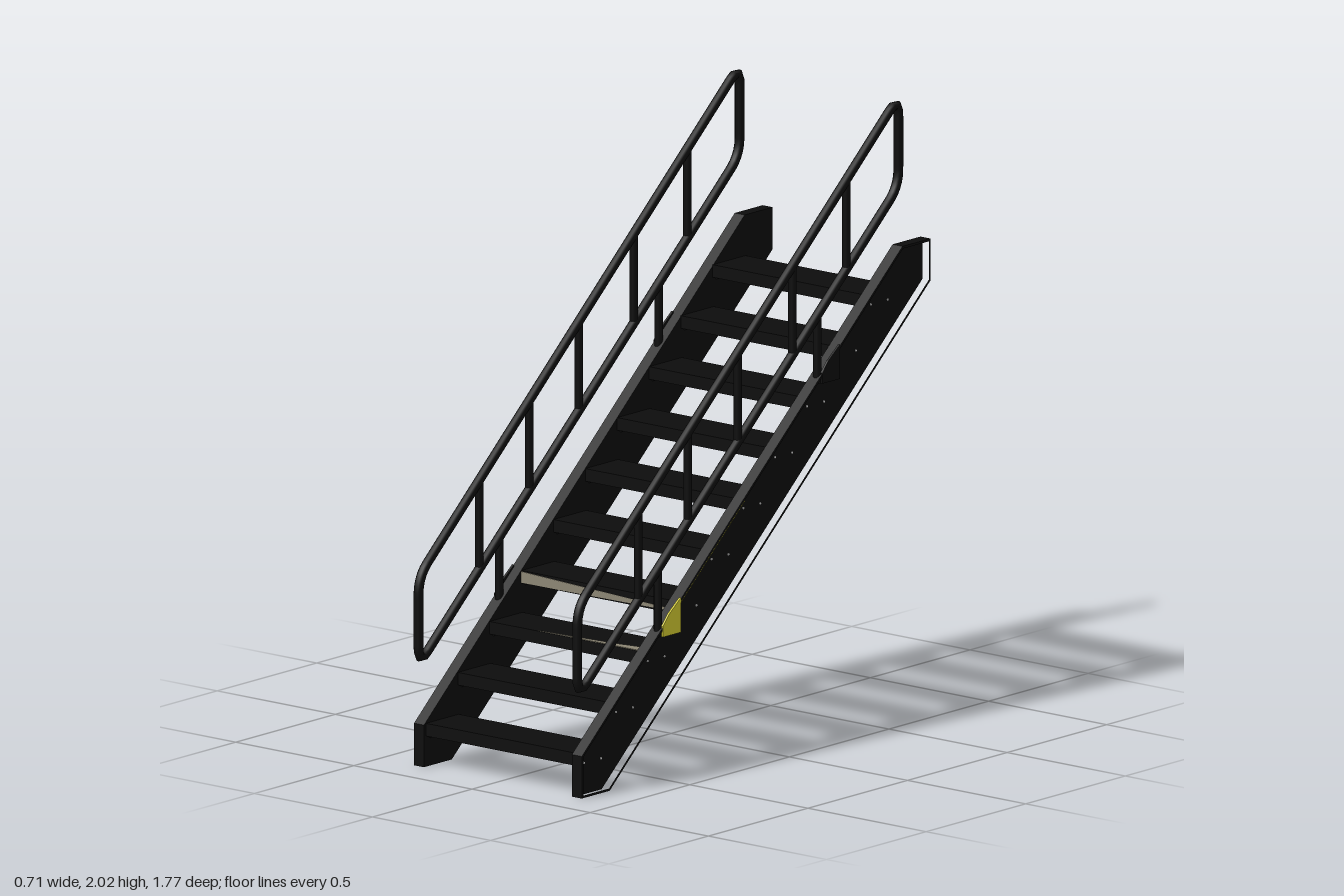
import * as THREE from 'three';

export function createModel() {
  const model = new THREE.Group();
  model.name = 'staircase';
  const material = (name, color, side = THREE.FrontSide) => {
    const m = new THREE.MeshStandardMaterial({ color, side });
    m.name = name;
    return m;
  };
  const black = material('black steel', 0x0d0d0d);
  const yellow = material('yellow paint', 0xd2ca30);
  const beige = material('bare beige', 0x8c8674);
  const bolt = material('pale bolt', 0xd8d8d8);

  const SLOPE = 1.4 / 1.61;
  const topEdge = z => 0.14 + SLOPE * (0.87 - z);
  const bottomEdge = z => SLOPE * (0.73 - z);

  const add = (parent, name, geometry, mat) => {
    const mesh = new THREE.Mesh(geometry, mat);
    mesh.name = name;
    parent.add(mesh);
    return mesh;
  };
  const box = (parent, name, [x0, x1], [y0, y1], [z0, z1], mat = black) =>
    add(parent, name, new THREE.BoxGeometry(x1 - x0, y1 - y0, z1 - z0), mat)
      .position.set((x0 + x1) / 2, (y0 + y1) / 2, (z0 + z1) / 2);

  // Side profile given as [z, y] corners, extruded between two x values on one side
  const toSide = pts => pts.map(([z, y]) => new THREE.Vector2(-z, y));
  const prism = (parent, name, pts, side, x0, x1, mat = black, hole) => {
    const shape = new THREE.Shape(toSide(pts));
    if (hole) shape.holes.push(new THREE.Path(toSide(hole)));
    const g = new THREE.ExtrudeGeometry(shape, { depth: x1 - x0, bevelEnabled: false });
    g.rotateY(Math.PI / 2).translate(side > 0 ? x0 : -x1, 0, 0);
    return add(parent, name, g, mat);
  };
  const strip = (z0, z1, edge, lo, hi) => [
    [z0, edge(z0) + lo], [z0, edge(z0) + hi], [z1, edge(z1) + hi], [z1, edge(z1) + lo]];

  const outline = [[0.87, 0], [0.87, 0.14], [-0.74, 1.54], [-0.88, 1.54], [-0.88, 1.4], [0.73, 0]];
  const inset = [[0.862, 0.008], [0.862, 0.1365], [-0.743, 1.532],
    [-0.872, 1.532], [-0.872, 1.404], [0.733, 0.008]];

  // Closed handrail loop with rounded corners
  const railCurve = x => {
    const c = [[0.87, 0.335], [0.87, 0.63], [-0.742, 2.035], [-0.742, 1.737]]
      .map(([z, y]) => new THREE.Vector3(x, y, z));
    const R = 0.06;
    const toward = (a, b) => a.clone().add(b.clone().sub(a).setLength(R));
    const path = new THREE.CurvePath();
    c.forEach((p, i) => {
      const prev = c[(i + 3) % 4], next = c[(i + 1) % 4];
      path.add(new THREE.QuadraticBezierCurve3(toward(p, prev), p, toward(p, next)));
      path.add(new THREE.LineCurve3(toward(p, next), toward(next, p)));
    });
    return path;
  };
  const lowerRail = z => 0.335 + 0.87 * (0.87 - z);
  const upperRail = z => 0.63 + 0.8716 * (0.87 - z);

  for (const side of [1, -1]) {
    const label = side > 0 ? 'left' : 'right';

    // Channel stringer: web on the inside, flanges facing out
    const stringer = new THREE.Group();
    stringer.name = label + 'Stringer';
    model.add(stringer);
    prism(stringer, 'web', outline, side, 0.313, 0.321);
    prism(stringer, 'flanges', outline, side, 0.321, 0.355, black, inset);

    // Handrail loop, balusters and mounting posts
    const rail = new THREE.Group();
    rail.name = label + 'Handrail';
    model.add(rail);
    const x = 0.336 * side;
    add(rail, 'railLoop', new THREE.TubeGeometry(railCurve(x), 240, 0.016, 12, true), black);
    const post = (name, z, y0, y1) =>
      add(rail, name, new THREE.CylinderGeometry(0.014, 0.014, y1 - y0, 12), black)
        .position.set(x, (y0 + y1) / 2, z);
    for (const z of [0.565, 0.315, 0.065, -0.21, -0.48]) post('baluster', z, lowerRail(z), upperRail(z));
    for (const z of [0.465, -0.335]) {
      post('mountingPost', z, topEdge(z) - 0.03, lowerRail(z));
      // Gusset plate fixing the post to the stringer
      const y = topEdge(z);
      prism(rail, 'mountingPlate',
        [[z, y - 0.03], [z, y + 0.005], [z - 0.03, y + 0.04], [z - 0.09, y + 0.085], [z - 0.09, y - 0.03]],
        side, 0.349, 0.357, side > 0 && z > 0 ? yellow : black);
    }
  }

  // Painted strips on the flange undersides
  prism(model, 'leftPaintStrip', strip(0.42, 0.05, topEdge, -0.015, -0.01), 1, 0.322, 0.354, yellow);
  prism(model, 'rightPaintStrip', strip(0.7, 0.28, bottomEdge, -0.003, 0.001), -1, 0.335, 0.354, yellow);

  // Treads: folded pans with end brackets and bolts
  const boltGeometry = new THREE.CylinderGeometry(0.004, 0.004, 0.02, 8).rotateZ(Math.PI / 2);
  for (let i = 0; i < 10; i++) {
    const tread = new THREE.Group();
    tread.name = 'tread';
    tread.position.set(0, 0.144 + 0.14 * i, 0.86 - 0.16 * i);
    model.add(tread);
    const w = [-0.314, 0.314];
    box(tread, 'treadPlate', w, [-0.008, 0], [-0.165, 0]);
    box(tread, 'frontLip', w, [-0.042, 0], [-0.008, 0]);
    box(tread, 'rearLip', w, [-0.042, 0], [-0.165, -0.157]);
    for (const side of [1, -1]) {
      box(tread, 'endBracket', side > 0 ? [0.306, 0.314] : [-0.314, -0.306], [-0.05, 0], [-0.15, -0.015]);
      for (const z of [-0.04, -0.125])
        add(tread, 'bolt', boltGeometry, bolt).position.set(0.313 * side, -0.04, z);
    }
  }

  // Worn bare patches on two treads
  const wear = (name, pts) => add(model, name, new THREE.ExtrudeGeometry(
    new THREE.Shape(pts.map(p => new THREE.Vector2(...p))), { depth: 0.002, bevelEnabled: false }), beige);
  wear('frontWear', [[-0.314, 0.523], [0.314, 0.529], [0.314, 0.536], [-0.314, 0.561]])
    .position.z = 0.38;
  const topWear = wear('topWear', [[-0.11, -0.538], [0.31, -0.538], [0.31, -0.46], [0.3, -0.495], [0.2, -0.512]]);
  topWear.rotation.x = -Math.PI / 2;
  topWear.position.y = 0.424;

  return model;
}
